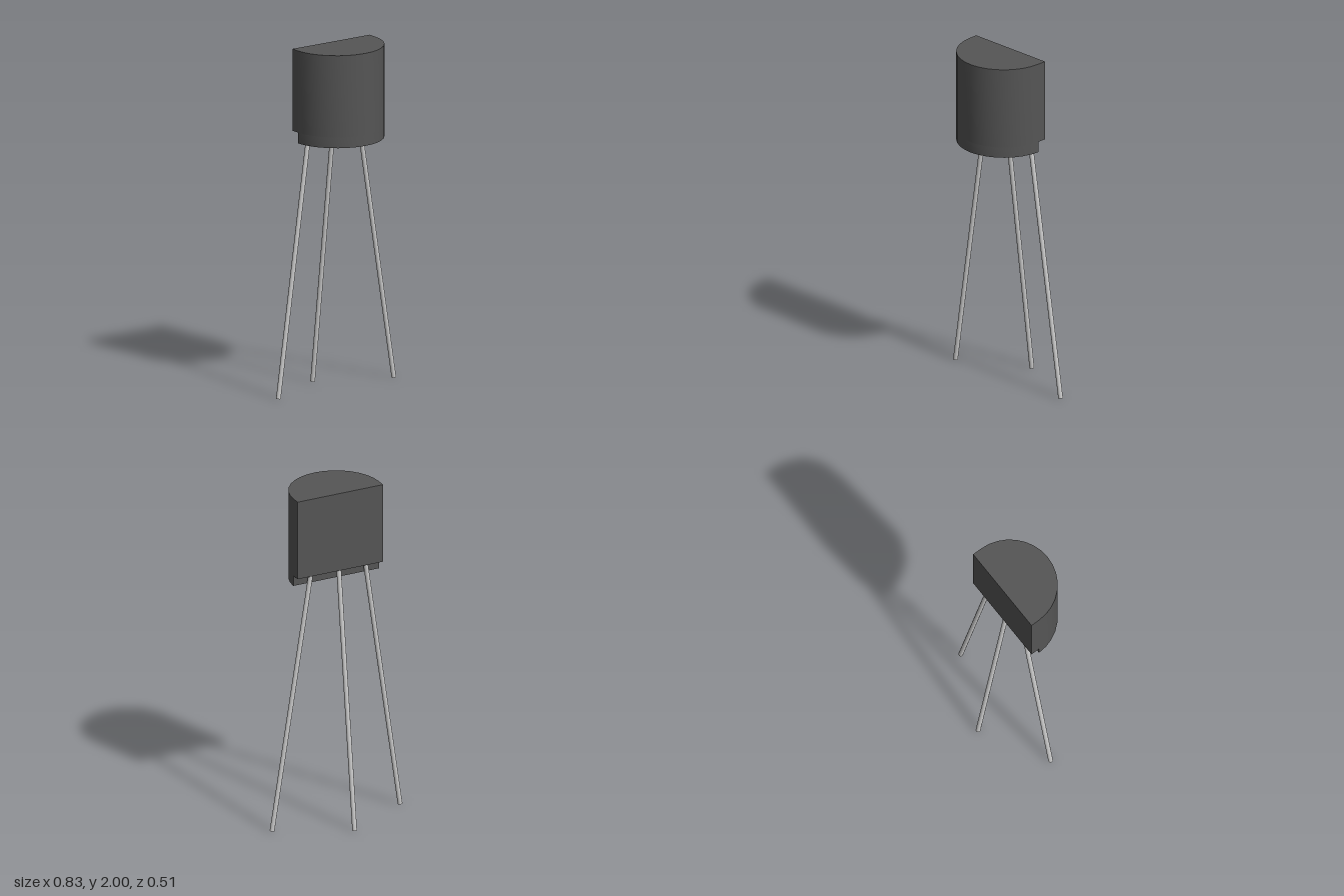
import * as THREE from 'three';
import { toCreasedNormals } from 'three/addons/utils/BufferGeometryUtils.js';

const CX = -0.012, CZ = -0.015, R = 0.268;
const BACK = -0.068, TOP = 2, STEP = 1.527, BOTTOM = 1.465;

// Half-round slab with a flat back at z = back, between two heights
function halfRound(name, back, yTop, yBottom, material) {
  const shape = new THREE.Shape();
  if (back < CZ) {
    shape.moveTo(CX - R, back);
    shape.lineTo(CX + R, back);
  }
  shape.absarc(CX, CZ, R, 0, Math.PI, false);
  shape.closePath();
  const geometry = new THREE.ExtrudeGeometry(shape, {
    depth: yTop - yBottom, bevelEnabled: false, curveSegments: 8,
  });
  geometry.rotateX(Math.PI / 2).translate(0, yTop, 0);
  const mesh = new THREE.Mesh(toCreasedNormals(geometry, 0.5), material);
  mesh.name = name;
  return mesh;
}

// Thin round wire between two points
function wire(name, from, to, material) {
  const a = new THREE.Vector3(...from), b = new THREE.Vector3(...to);
  const dir = b.clone().sub(a);
  const mesh = new THREE.Mesh(new THREE.CylinderGeometry(0.0135, 0.0135, dir.length(), 16), material);
  mesh.position.copy(a).add(b).multiplyScalar(0.5);
  mesh.quaternion.setFromUnitVectors(new THREE.Vector3(0, 1, 0), dir.normalize());
  mesh.name = name;
  return mesh;
}

export function createModel() {
  const model = new THREE.Group();
  model.name = 'transistor';
  const plastic = new THREE.MeshStandardMaterial({ color: 0x555555 });
  const metal = new THREE.MeshStandardMaterial({ color: 0xcccccc });

  // Casing: flat-backed upper part, and a lower part set in at the back
  const casing = new THREE.Group();
  casing.name = 'casing';
  casing.add(
    halfRound('upperCasing', BACK, TOP, STEP, plastic),
    halfRound('lowerCasing', CZ, STEP, BOTTOM, plastic),
  );

  // Splayed legs, leaving the casing under the rear step
  const legs = new THREE.Group();
  legs.name = 'legs';
  legs.add(
    wire('leftLeg', [0.403, 0.003, -0.042], [0.157, 1.55, -0.042], metal),
    wire('middleLeg', [-0.014, 0.002, -0.241], [-0.014, 1.55, -0.041], metal),
    wire('rightLeg', [-0.405, 0.003, -0.03], [-0.18, 1.55, -0.04], metal),
  );

  model.add(casing, legs);
  return model;
}
